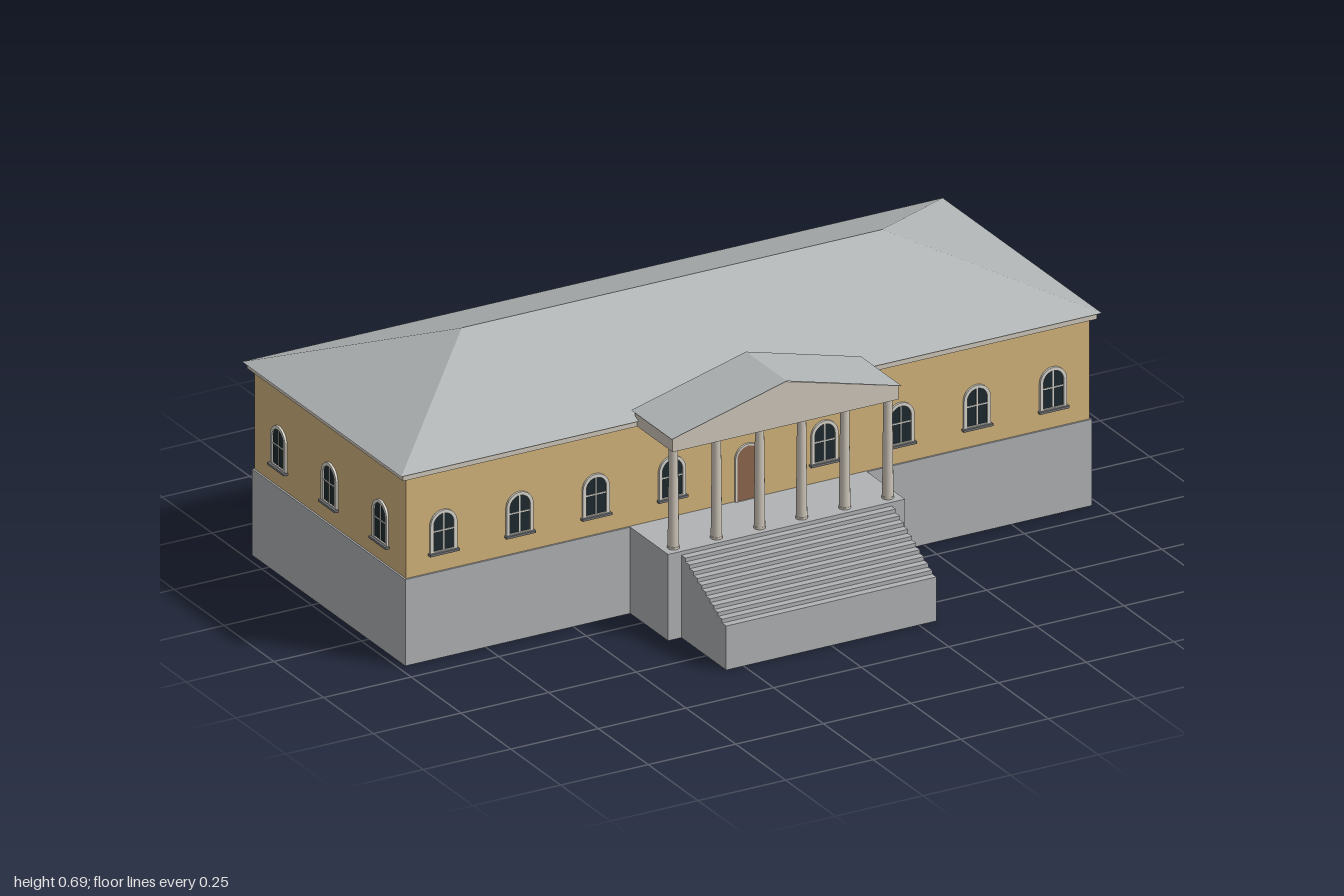
import * as THREE from 'three';

const mat = (name, color, side = THREE.FrontSide) => {
  const m = new THREE.MeshStandardMaterial({ color, side });
  m.name = name;
  return m;
};

export function createModel() {
  const root = new THREE.Group();
  root.name = 'villa';
  const stone = mat('grey stone', 0xb0b2b4, THREE.DoubleSide);
  const roofing = mat('grey roofing', 0xb0b4b5, THREE.DoubleSide);
  const plaster = mat('ochre plaster', 0xd2b47c);
  const trim = mat('pale trim', 0xcfc7bb);
  const frameMat = mat('window frame', 0xd8d5cc);
  const glass = mat('dark glass', 0x1d2a2f);
  const sillMat = mat('sill grey', 0x74767a);
  const doorMat = mat('brown door', 0x8c664f);

  const add = (parent, name, geo, material, x = 0, y = 0, z = 0) => {
    const m = new THREE.Mesh(geo, material);
    m.name = name;
    m.position.set(x, y, z);
    parent.add(m);
    return m;
  };

  // Box given by its limits; open lists the face numbers left out
  const box = (name, material, x0, x1, y0, y1, z0, z1, parent = root, open = []) => {
    const g = new THREE.BoxGeometry(x1 - x0, y1 - y0, z1 - z0);
    if (open.length) {
      g.setIndex(Array.from(g.index.array).filter((_, i) => !open.includes(Math.floor(i / 6))));
      g.clearGroups();
    }
    return add(parent, name, g, material, (x0 + x1) / 2, (y0 + y1) / 2, (z0 + z1) / 2);
  };

  // Flat-shaded surface from polygons over a list of corners
  const faces = (pts, polys) => {
    const out = [];
    for (const p of polys)
      for (let i = 1; i < p.length - 1; i++) out.push(...pts[p[0]], ...pts[p[i]], ...pts[p[i + 1]]);
    const g = new THREE.BufferGeometry();
    g.setAttribute('position', new THREE.Float32BufferAttribute(out, 3));
    g.computeVertexNormals();
    return g;
  };

  // Hollow plinth, walls and cornice
  box('plinth', stone, -0.98, 0.98, 0, 0.235, -0.585, 0.185, root, [3]);
  box('walls', plaster, -0.975, 0.975, 0.235, 0.51, -0.58, 0.18);
  box('cornice', trim, -0.99, 0.99, 0.508, 0.525, -0.592, 0.192);

  // Hipped roof
  add(root, 'hippedRoof', faces(
    [[-1, 0.525, 0.2], [1, 0.525, 0.2], [1, 0.525, -0.6], [-1, 0.525, -0.6], [-0.6, 0.685, -0.2], [0.6, 0.685, -0.2]],
    [[0, 1, 5, 4], [1, 2, 5], [2, 3, 4, 5], [3, 0, 4], [3, 2, 1, 0]]), roofing);

  // Porch platform
  box('porchPlatform', stone, -0.338, 0.338, 0, 0.235, 0.185, 0.375, root, [3, 5]);

  // Stairs: stepped side profile swept across x
  const steps = 11, run = 0.225 / steps, rise = 0.115 / steps;
  const side = new THREE.Shape();
  side.moveTo(0.375, 0);
  side.lineTo(0.6, 0);
  for (let i = 0; i < steps; i++) {
    side.lineTo(0.6 - i * run, 0.12 + i * rise);
    side.lineTo(0.6 - (i + 1) * run, 0.12 + i * rise);
  }
  const stairs = new THREE.ExtrudeGeometry(side, { depth: 0.6, bevelEnabled: false });
  stairs.rotateY(-Math.PI / 2);
  add(root, 'stairs', stairs, stone, 0.3);

  // Columns
  for (const s of [-1, 1])
    for (const x of [0.06, 0.183, 0.306]) {
      const col = new THREE.Group();
      col.name = 'column';
      col.position.set(s * x, 0.235, 0.345);
      root.add(col);
      add(col, 'shaft', new THREE.CylinderGeometry(0.0115, 0.0145, 0.275, 16), trim, 0, 0.1375);
      add(col, 'base', new THREE.CylinderGeometry(0.0155, 0.0155, 0.006, 16), trim, 0, 0.003);
      add(col, 'capital', new THREE.CylinderGeometry(0.015, 0.012, 0.008, 16), trim, 0, 0.271);
    }

  // Entablature, pediment and gabled porch roof
  box('entablature', trim, -0.322, 0.322, 0.508, 0.546, 0.18, 0.37);
  const tri = new THREE.Shape([[-0.324, 0.545], [0.324, 0.545], [0, 0.628]].map(p => new THREE.Vector2(...p)));
  add(root, 'pediment', new THREE.ExtrudeGeometry(tri, { depth: 0.192, bevelEnabled: false }), trim, 0, 0, 0.178);
  add(root, 'porchRoof', faces(
    [[-0.328, 0.546, 0.376], [0, 0.632, 0.376], [0.328, 0.546, 0.376], [-0.328, 0.546, 0.172], [0, 0.632, 0.172], [0.328, 0.546, 0.172]],
    [[0, 1, 4, 3], [1, 2, 5, 4]]), roofing);

  // Round-headed outline, standing on y = 0
  const arch = (Type, r, h, y0 = 0) => {
    const p = new Type();
    p.moveTo(-r, y0);
    p.lineTo(r, y0);
    p.lineTo(r, h - r);
    p.absarc(0, h - r, r, 0, Math.PI, false);
    p.lineTo(-r, y0);
    return p;
  };
  const plate = (shape, depth) => new THREE.ExtrudeGeometry(shape, { depth, bevelEnabled: false, curveSegments: 12 });
  const archFrame = (r, h, w, y0) => {
    const s = arch(THREE.Shape, r, h);
    s.holes.push(arch(THREE.Path, r - w, h - w, y0));
    return plate(s, 0.006);
  };

  // Arched windows
  const frameGeo = archFrame(0.038, 0.113, 0.009, 0.004);
  const glassGeo = plate(arch(THREE.Shape, 0.031, 0.106), 0.002);
  const addWindow = (x, z, turn) => {
    const w = new THREE.Group();
    w.name = 'window';
    w.position.set(x, 0.288, z);
    w.rotation.y = turn;
    root.add(w);
    add(w, 'frame', frameGeo, frameMat);
    add(w, 'pane', glassGeo, glass);
    box('mullion', frameMat, -0.0018, 0.0018, 0.002, 0.106, 0.001, 0.004, w);
    box('transom', frameMat, -0.03, 0.03, 0.056, 0.0595, 0.001, 0.004, w);
    box('sill', sillMat, -0.042, 0.042, -0.005, 0.001, 0, 0.012, w);
  };
  for (let k = -4; k <= 4; k++) {
    if (k !== 0) addWindow(k * 0.2175, 0.18, 0);
    addWindow(k * 0.2175, -0.58, Math.PI);
  }
  for (const z of [0.055, -0.2, -0.455]) {
    addWindow(0.975, z, Math.PI / 2);
    addWindow(-0.975, z, -Math.PI / 2);
  }

  // Front door
  add(root, 'doorFrame', archFrame(0.038, 0.152, 0.005, 0.001), frameMat, 0, 0.235, 0.18);
  add(root, 'door', plate(arch(THREE.Shape, 0.034, 0.148), 0.004), doorMat, 0, 0.235, 0.18);

  return root;
}
